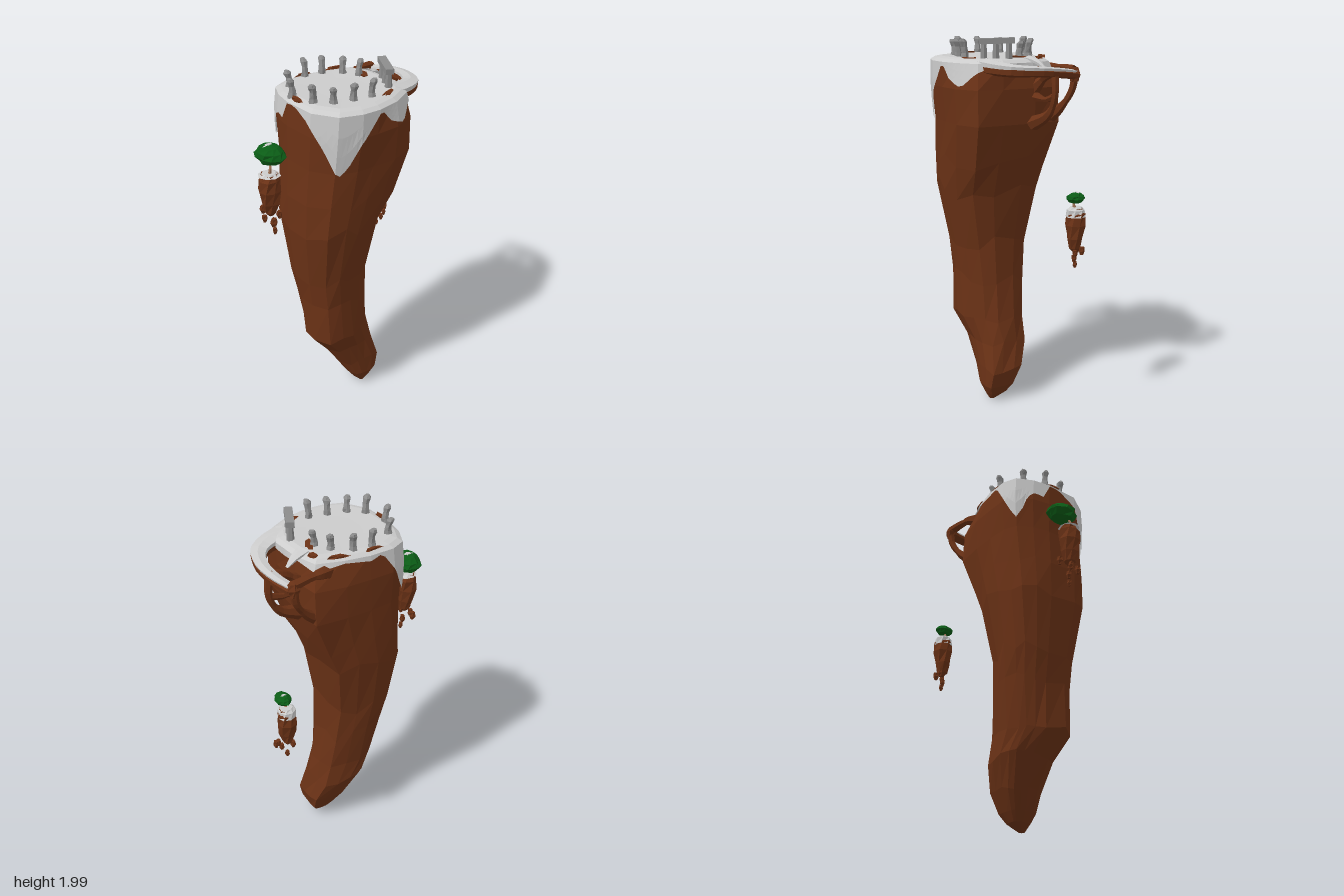
import * as THREE from 'three';

const mat = (color) => new THREE.MeshStandardMaterial({ color, flatShading: true, side: THREE.DoubleSide });
const ROCK = mat(0x6b3216), SNOW = mat(0xcccccc), STONE = mat(0x8c8c8c), LEAF = mat(0x0b5c16), BARK = mat(0xa87a5c);

// Outline of the plateau, from the front round by +x, scaled to -1..1
const OUTLINE = [[0, .31], [.18, .295], [.295, .215], [.33, .1], [.33, 0], [.3, -.12], [.235, -.235], [.12, -.28],
  [-.05, -.262], [-.17, -.215], [-.21, -.08], [-.23, .05], [-.225, .18], [-.19, .255], [-.1, .295]]
  .map(([x, z]) => [(x - .05) / .28, (z - .015) / .295]);
const N = OUTLINE.length;

// Crag by height: y, x min, x max, z min, z max, then fullness of the corners +x+z, +x-z, -x-z, -x+z
const LEVELS = [
  [.01, .08, .11, -.115, -.085, 0, 0, 0, 0],
  [.05, .02, .13, -.145, -.045, 0, .3, .2, 0],
  [.1, -.01, .15, -.17, -.01, 0, .4, .3, 0],
  [.2, -.06, .15, -.195, .05, 0, .4, .2, 0],
  [.35, -.125, .16, -.165, .145, .1, 0, 0, -.2],
  [.47, -.13, .205, -.15, .25, .15, -.25, -.05, -.4],
  [.7, -.15, .205, -.115, .255, .05, -.1, -.05, -.2],
  [.9, -.17, .225, -.1, .29, 0, 0, 0, -.1],
  [1.2, -.215, .29, -.135, .32, 0, .1, .1, -.08],
  [1.35, -.22, .295, -.2, .315, 0, .25, .2, -.08],
  [1.57, -.23, .31, -.265, .303, 0, .35, .35, -.05],
  [1.75, -.235, .33, -.28, .3, 0, .2, .25, 0],
  [1.88, -.22, .33, -.28, .29, 0, 0, 0, 0]];

// Bottom edge of the snow round the outline: outline index, y
const SNOW_EDGE = [[0, 1.87], [.3, 1.875], [.9, 1.82], [1.1, 1.78], [1.5, 1.7], [2, 1.58], [2.25, 1.56], [2.6, 1.62], [3, 1.72],
  [3.6, 1.8], [4.1, 1.87], [4.6, 1.8], [5.3, 1.76], [5.9, 1.83], [6.5, 1.86], [7.5, 1.84], [8.2, 1.86], [9, 1.84],
  [10, 1.865], [11, 1.85], [11.5, 1.87], [12, 1.77], [12.6, 1.67], [13, 1.62], [13.4, 1.68], [13.7, 1.76], [14.1, 1.79], [14.6, 1.78], [15, 1.87]];

let seed = 7;
const rnd = () => { seed = (seed * 16807) % 2147483647; return seed / 2147483647 - .5; };
const { lerp, clamp } = THREE.MathUtils;

// Piecewise linear lookup in rows keyed by their first number
function lookup(rows, k) {
  let i = 0;
  while (i < rows.length - 2 && rows[i + 1][0] < k) i++;
  const t = clamp((k - rows[i][0]) / (rows[i + 1][0] - rows[i][0]), 0, 1);
  return rows[i].map((v, j) => lerp(v, rows[i + 1][j], t));
}

// Point on the crag at outline position u and height y
function onCrag(u, y, scale = 1, out = 0) {
  const p = OUTLINE[Math.floor(u) % N], q = OUTLINE[(Math.floor(u) + 1) % N], t = u % 1;
  const a = lerp(p[0], q[0], t), b = lerp(p[1], q[1], t);
  const [, x0, x1, z0, z1, ...full] = lookup(LEVELS, y);
  const f = 1 + full[a > 0 ? (b > 0 ? 0 : 1) : (b > 0 ? 3 : 2)] * Math.abs(a * b);
  return [(x0 + x1) / 2 + clamp(a * f, -1, 1) * ((x1 - x0) / 2 + out) * scale, y,
    (z0 + z1) / 2 + clamp(b * f, -1, 1) * ((z1 - z0) / 2 + out) * scale];
}

// Skin of rings listed from bottom to top, closed with fans
function loft(rings, capBottom = true) {
  const n = rings[0].length, pos = rings.flat(2), idx = [];
  for (let r = 0; r < rings.length - 1; r++) for (let i = 0; i < n; i++) {
    const a = r * n + i, b = r * n + (i + 1) % n;
    idx.push(a, b, b + n, a, b + n, a + n);
  }
  const cap = (ring, base, flip) => {
    const c = [0, 1, 2].map(k => ring.reduce((s, p) => s + p[k], 0) / n), ci = pos.length / 3;
    pos.push(...c);
    for (let i = 0; i < n; i++) {
      const a = base + i, b = base + (i + 1) % n;
      idx.push(ci, flip ? b : a, flip ? a : b);
    }
  };
  if (capBottom) cap(rings[0], 0, true);
  cap(rings[rings.length - 1], (rings.length - 1) * n, false);
  const g = new THREE.BufferGeometry();
  g.setAttribute('position', new THREE.Float32BufferAttribute(pos, 3));
  g.setIndex(idx);
  g.computeVertexNormals();
  return g;
}

function add(parent, name, geo, material, x = 0, y = 0, z = 0) {
  const m = new THREE.Mesh(geo, material);
  m.name = name;
  m.position.set(x, y, z);
  parent.add(m);
  return m;
}

// Uneven round lump from rows of [y, radius]
function lump(rows, sides, rough, sx = 1, sz = 1) {
  return loft(rows.map(([y, r], k) => Array.from({ length: sides }, (_, i) => {
    const a = (i + k * .3) / sides * Math.PI * 2, q = r * (1 + rnd() * rough);
    return [Math.sin(a) * q * sx, y + rnd() * r * rough * .3, Math.cos(a) * q * sz];
  })));
}

// Tube along points whose radius runs from r0 through rm to r1, flattened in y
function strand(pts, r0, rm, r1, flat = 1) {
  const curve = new THREE.CatmullRomCurve3(pts.map(p => new THREE.Vector3(...p)));
  const g = new THREE.TubeGeometry(curve, 12, 1, 6), p = g.attributes.position, v = new THREE.Vector3();
  for (let i = 0; i < p.count; i++) {
    const t = Math.floor(i / 7) / 12, c = curve.getPointAt(t);
    const r = t < .5 ? lerp(r0, rm, t * 2) : lerp(rm, r1, t * 2 - 1);
    v.fromBufferAttribute(p, i).sub(c).multiplyScalar(r);
    p.setXYZ(i, c.x + v.x, c.y + v.y * flat, c.z + v.z);
  }
  return g;
}

// Small floating rock with a tree and loose debris; crown gives [radius, x, y, z]
function floatingIslet(name, x, y, z, [cr, cx, cy, cz], width, snowDepth, debris) {
  const g = new THREE.Group();
  g.name = name;
  g.position.set(x, y, z);
  add(g, 'isletRock', lump([[-.235, .012], [-.215, .03], [-.16, .047], [-.09, .057], [-.03, .055], [0, .042]], 8, .2, width, width), ROCK);
  add(g, 'isletSnow', lump([[-snowDepth, .057], [-.008, .052], [.006, .034]], 8, .12, width, width), SNOW);
  add(g, 'treeTrunk', strand([[.005, 0, 0], [.012, cy * .35, 0], [cx * .5, cy * .8, cz * .6], [cx, cy, cz]], .009, .006, .008), BARK);
  add(g, 'treeCrown', lump([[-.05, .3], [-.038, .72], [-.008, 1], [.018, .9], [.038, .55], [.046, .2]]
    .map(([h, r]) => [h * cr / .09, r * cr]), 10, .16, 1, .8), LEAF, cx, cy, cz);
  add(g, 'crownSnow', lump([[-.006, cr * .3], [.003, cr * .18]], 6, .5, .7, 1.2), SNOW, cx - cr * .1, cy + cr * .5, cz);
  for (const [dx, dy, dz, r] of debris) add(g, 'debris', lump([[-r * 1.5, r * .5], [-r * .3, r], [r * 1.1, r * .8]], 5, .3), ROCK, dx, dy, dz);
  return g;
}

export function createModel() {
  const model = new THREE.Group();
  model.name = 'snowyCrag';

  // Curved rock body with staggered facets
  add(model, 'crag', loft(LEVELS.map(([y], k) => OUTLINE.map((_, i) => {
    const stagger = k > 5 && k < 10 ? .1 : k > 2 && k < 6 ? .03 : 0;
    return onCrag(i, y + rnd() * stagger, 1 + rnd() * (stagger ? .04 : 0));
  }))), ROCK);

  // Snow sheet with hanging points and a bevelled rim
  const us = Array.from({ length: N * 5 }, (_, i) => i / 5);
  const edge = us.map(u => lookup(SNOW_EDGE, u)[1]);
  const skirt = [0, .33, .66, 1].map(t => us.map((u, i) => onCrag(u, lerp(edge[i], 1.878, t), 1, .009)));
  const tops = [[.95, 1.893], [.85, 1.9], [.45, 1.896]].map(([s, y]) => us.map(u => {
    const [x, , z] = onCrag(u, 1.88, s);
    return [x, y, z];
  }));
  add(model, 'snowCap', loft([...skirt, ...tops], false), SNOW);

  // Bare rock showing through the snow
  for (const [x, z, rx, rz, turn] of [[-.03, -.18, .055, .022, -.4], [.24, -.13, .016, .055, .5], [.05, .272, .04, .014, 0],
    [-.19, -.11, .012, .05, -.2], [-.12, -.21, .03, .018, .5], [-.205, .06, .01, .05, 0]]) {
    const patch = add(model, 'barePatch', lump([[-.24, 1], [.1, .85]], 6, .7), ROCK, x, 1.9, z);
    patch.scale.set(rx, 1 / 30, rz);
    patch.rotation.y = turn;
  }

  // Rock bridge looping out at the back, with snow on its top
  const path = [[.18, 1.875, -.2], [.16, 1.868, -.29], [.11, 1.86, -.375], [0, 1.855, -.42], [-.12, 1.845, -.415], [-.235, 1.83, -.375]];
  add(model, 'bridgeRock', strand(path.map(([x, y, z]) => [x, y - .015, z]), .065, .036, .034, .6), ROCK);
  add(model, 'bridgeSnow', strand(path.map(([x, y, z]) => [x, y + .004, z]), .068, .037, .024, .35), SNOW);
  add(model, 'bridgeTip', lump([[-.04, .02], [0, .034], [.03, .02]], 6, .3), ROCK, -.228, 1.825, -.375);

  // Struts under the bridge, bowed outward and rooted in the crag
  for (const [pts, r] of [
    [[[-.235, 1.83, -.375], [-.225, 1.74, -.36], [-.2, 1.65, -.3], [-.17, 1.58, -.21]], .022],
    [[[-.228, 1.84, -.37], [-.215, 1.845, -.29], [-.2, 1.84, -.22], [-.16, 1.82, -.15]], .026],
    [[[-.085, 1.84, -.425], [-.085, 1.72, -.428], [-.08, 1.63, -.38], [-.06, 1.57, -.26]], .022],
    [[[-.085, 1.84, -.42], [-.085, 1.82, -.35], [-.08, 1.78, -.29], [-.06, 1.72, -.22]], .026],
    [[[-.085, 1.72, -.42], [-.08, 1.7, -.35], [-.06, 1.71, -.24]], .018]]) {
    add(model, 'bridgeStrut', strand(pts, r, r * .75, r * 1.8), ROCK);
  }
  add(model, 'snowRib', strand([[-.05, 1.895, -.22], [-.07, 1.88, -.28], [-.085, 1.85, -.33]], .04, .025, .008, .4), SNOW);

  // Ring of standing stones, their heads leaning outward
  const spots = [[-.11, -.11], [-.165, -.02], [-.18, .075], [-.115, .21], [-.005, .265], [.125, .23], [.185, .155], [.21, .055], [.225, -.045], [-.035, -.16]];
  spots.forEach(([x, z], i) => {
    const h = .08 + (i % 3) * .006, a = Math.atan2(x - .03, z - .04), dx = Math.sin(a), dz = Math.cos(a);
    const g = loft([[-.01, .024, 0], [.02, .018, -.004], [.05, .016, 0], [.075, .021, .007], [.088, .012, .011]].map(([y, r, lean]) =>
      Array.from({ length: 6 }, (_, k) => {
        const b = k / 6 * Math.PI * 2, q = r * (1 + rnd() * .3);
        return [Math.sin(b) * q + dx * lean, y * h / .088, Math.cos(b) * q + dz * lean];
      })));
    add(model, 'standingStone', g, STONE, x, 1.898, z);
  });

  // Stone gate: a lintel on three posts
  const gate = new THREE.Group();
  gate.name = 'stoneGate';
  gate.position.set(.12, 1.9, -.205);
  gate.rotation.y = -.42;
  add(gate, 'lintel', new THREE.BoxGeometry(.175, .028, .042), STONE, 0, .085, 0).rotation.z = -.03;
  for (const x of [-.06, .005, .065]) add(gate, 'gatePost', new THREE.CylinderGeometry(.015, .02, .09, 6), STONE, x, .035, 0);
  model.add(gate);

  // Floating islets in front of and behind the crag
  model.add(floatingIslet('frontIslet', .025, 1.54, .43, [.09, -.025, .092, -.025], 1, .006,
    [[-.07, -.23, .005, .017], [-.015, -.25, .03, .015], [0, -.285, -.01, .016], [.045, -.25, .01, .017], [.005, -.33, -.015, .013], [.03, -.225, -.03, .016]]));
  model.add(floatingIslet('backIslet', -.22, 1.145, -.43, [.052, .008, .058, -.012], .9, .045,
    [[0, -.21, -.066, .016], [-.025, -.225, .018, .015], [.02, -.26, -.025, .014], [0, -.3, -.005, .013], [.025, -.23, -.04, .014]]));
  return model;
}
